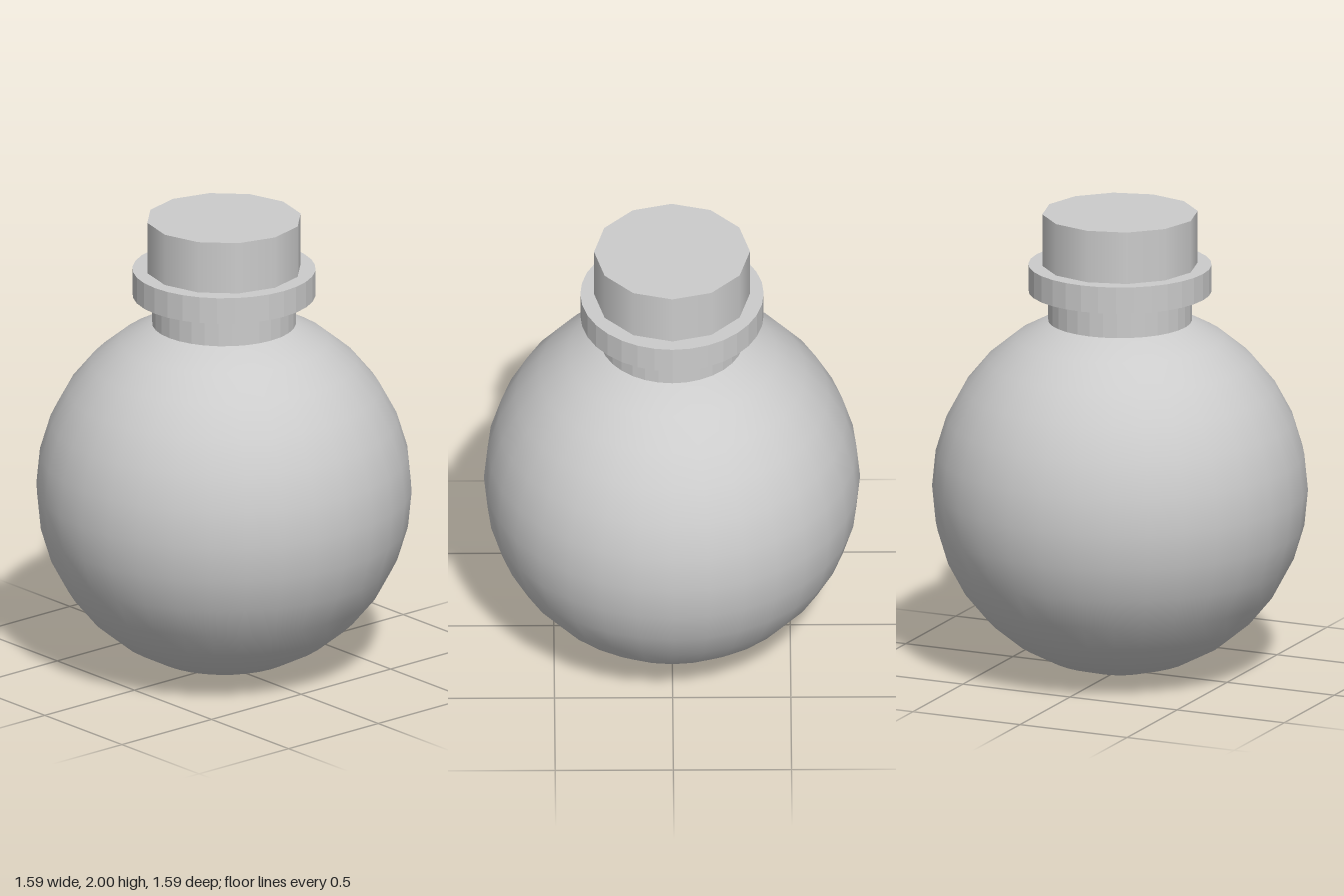
import * as THREE from 'three';

const smooth = new THREE.MeshStandardMaterial({ color: 0xcccccc });
const faceted = new THREE.MeshStandardMaterial({ color: 0xcccccc, flatShading: true });

export function createModel() {
  const group = new THREE.Group();
  group.name = 'roundFlask';

  const add = (name, geometry, material, y) => {
    const mesh = new THREE.Mesh(geometry, material);
    mesh.name = name;
    mesh.position.y = y;
    group.add(mesh);
  };

  // Upright cylinder between two heights
  const addCylinder = (name, radius, bottom, top, sides, material) =>
    add(name, new THREE.CylinderGeometry(radius, radius, top - bottom, sides), material, (bottom + top) / 2);

  // Round body, cut open at the top where the neck begins
  const R = 0.796;
  const cut = Math.PI / 8;
  add('body', new THREE.SphereGeometry(R, 32, 14, 0, Math.PI * 2, cut, Math.PI - cut), smooth, R);

  // Neck, lip and stopper
  addCylinder('neck', R * Math.sin(cut), R + R * Math.cos(cut), 1.66, 32, faceted);
  addCylinder('lip', 0.388, 1.66, 1.775, 32, faceted);
  addCylinder('stopper', 0.33, 1.775, 2, 12, smooth);

  return group;
}
